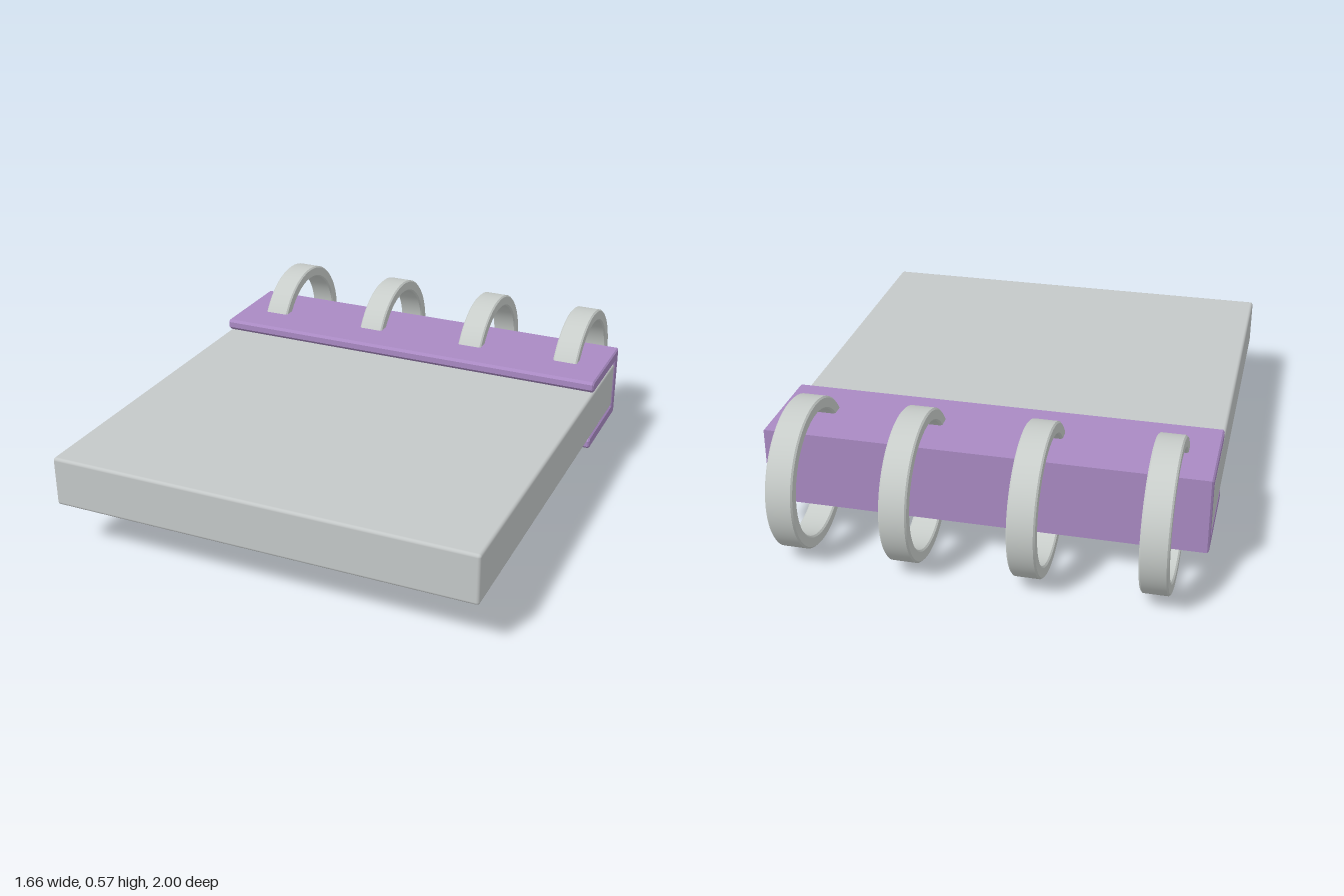
import * as THREE from 'three';
import { toCreasedNormals } from 'three/addons/utils/BufferGeometryUtils.js';
import { RoundedBoxGeometry } from 'three/addons/geometries/RoundedBoxGeometry.js';

const mat = (name, color) => {
  const m = new THREE.MeshStandardMaterial({ color });
  m.name = name;
  return m;
};

export function createModel() {
  const group = new THREE.Group();
  const paper = mat('paper grey', 0xc4c8c8);
  const metal = mat('ring grey', 0xc8cdca);
  const purple = mat('binding purple', 0xa98ac3);

  const add = (name, geometry, material, x, y, z) => {
    const mesh = new THREE.Mesh(geometry, material);
    mesh.name = name;
    mesh.position.set(x, y, z);
    group.add(mesh);
  };

  // Page block
  add('pageBlock', new RoundedBoxGeometry(1.66, 0.195, 1.66, 3, 0.012), paper, 0, 0.288, 0.17);

  // Binding: U-shaped channel wrapped round the back edge, drawn in (z, y)
  const profile = new THREE.Shape([
    [-0.71, 0.14], [-0.33, 0.14], [-0.32, 0.15], [-0.32, 0.173], [-0.334, 0.187],
    [-0.662, 0.187], [-0.662, 0.389],
    [-0.334, 0.389], [-0.32, 0.403], [-0.32, 0.426], [-0.33, 0.436], [-0.71, 0.436],
  ].map(([z, y]) => new THREE.Vector2(z, y)));
  const bevel = 0.006;
  const depth = 1.66 - 2 * bevel;
  const channel = new THREE.ExtrudeGeometry(profile, {
    depth, bevelEnabled: true, bevelSize: bevel, bevelThickness: bevel,
    bevelOffset: -bevel, bevelSegments: 1,
  });
  channel.translate(0, 0, -depth / 2).rotateY(-Math.PI / 2);
  add('binding', channel, purple, 0, 0, 0);

  // Rings: flat bands with softened edges, turned about the x axis
  const inner = 0.237, outer = 0.284, half = 0.051, c = 0.006;
  const section = [
    [inner, -half + c], [inner + c, -half], [outer - c, -half], [outer, -half + c],
    [outer, half - c], [outer - c, half], [inner + c, half], [inner, half - c],
    [inner, -half + c],
  ].map(([r, y]) => new THREE.Vector2(r, y));
  const ring = toCreasedNormals(new THREE.LatheGeometry(section, 72), 0.5);
  ring.rotateZ(Math.PI / 2);
  [-0.669, -0.21, 0.246, 0.664].forEach((x, i) => {
    add(`ring${i + 1}`, ring, metal, x, 0.287, -0.716);
  });

  return group;
}
